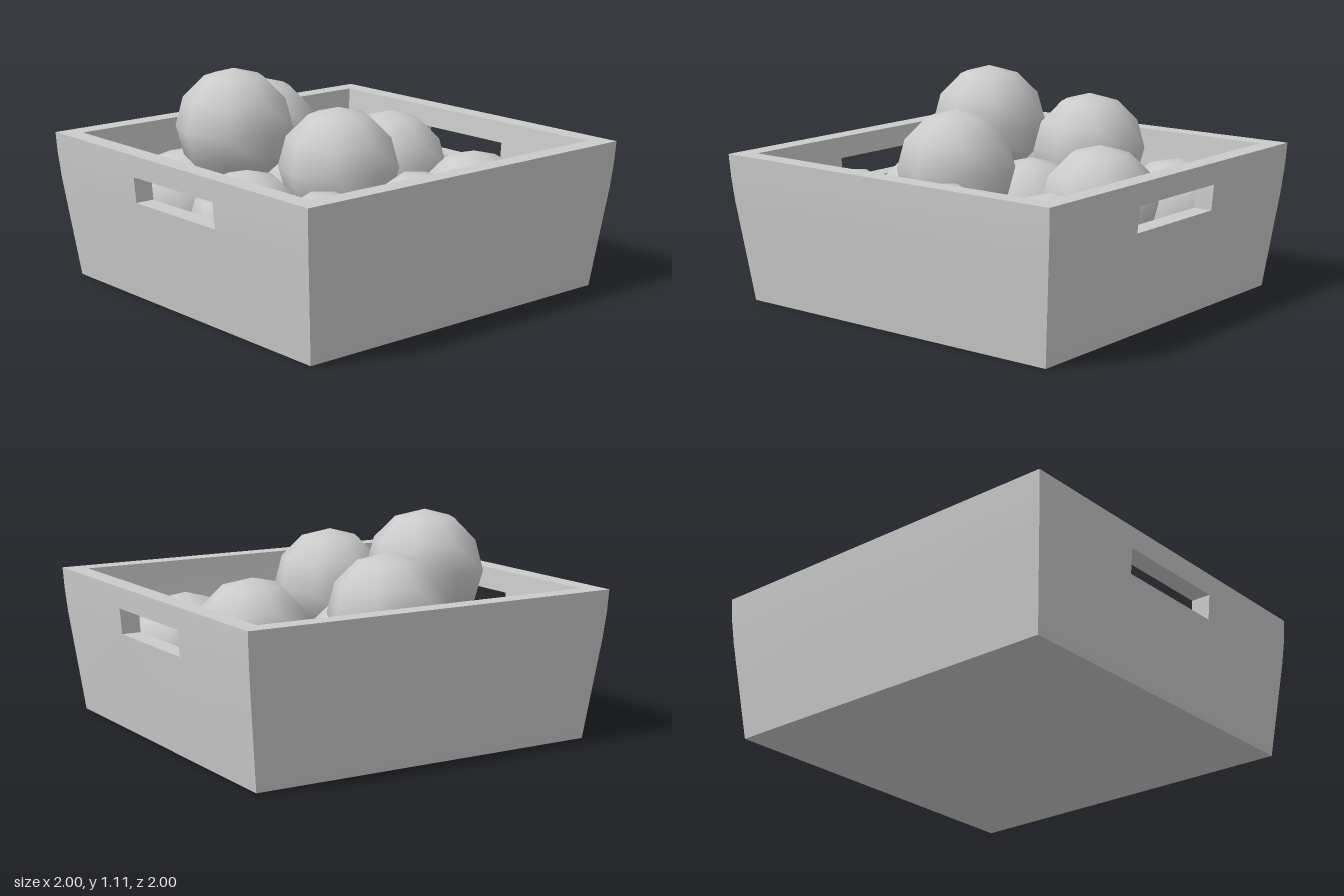
import * as THREE from 'three';
import { toCreasedNormals } from 'three/addons/utils/BufferGeometryUtils.js';

const RADIUS = 0.297;
const SLOT = 0.315; // half length of a handle slot

// Wall profiles, bottom to top: [half width, height]
const OUTER = [[0.92, 0], [0.982, 0.51], [0.994, 0.64], [1, 0.75]];
const INNER = [[0.83, 0.07], [0.882, 0.51], [0.893, 0.64], [0.9, 0.75]];

// Ball centres [x, y, z] and a slight tilt
const BALLS = [
  [-0.49, 0.37, -0.57, 0], [0.03, 0.665, -0.61, 0], [0.57, 0.38, -0.6, -0.2],
  [-0.395, 0.81, -0.295, 0], [-0.05, 0.37, -0.21, 0], [0.475, 0.51, -0.09, 0],
  [-0.555, 0.37, 0.01, 0], [-0.17, 0.665, 0.24, 0], [0.575, 0.37, 0.43, 0],
  [-0.555, 0.37, 0.585, 0.2], [0.04, 0.37, 0.58, 0.2],
];

function crateGeometry() {
  const pos = [];
  const quad = (a, b, c, d) => [a, b, c, a, c, d].forEach((p) => pos.push(...p));

  for (let side = 0; side < 4; side++) {
    const hasSlot = side % 2 === 1;
    const s = Math.round(Math.sin(side * Math.PI / 2));
    const c = Math.round(Math.cos(side * Math.PI / 2));
    // Point on a wall: column 0..3 along it, row 0..3 up it
    const at = (profile, col, row) => {
      const [out, y] = profile[row];
      const along = [-out, -SLOT, SLOT, out][col];
      return [out * s + along * c, y, out * c - along * s];
    };

    // Outer and inner skins, leaving the slot open
    for (let row = 0; row < 3; row++) {
      for (let col = 0; col < 3; col++) {
        if (hasSlot && row === 1 && col === 1) continue;
        quad(at(OUTER, col, row), at(OUTER, col + 1, row), at(OUTER, col + 1, row + 1), at(OUTER, col, row + 1));
        quad(at(INNER, col + 1, row), at(INNER, col, row), at(INNER, col, row + 1), at(INNER, col + 1, row + 1));
      }
    }

    // Top rim
    for (let col = 0; col < 3; col++) {
      quad(at(OUTER, col, 3), at(OUTER, col + 1, 3), at(INNER, col + 1, 3), at(INNER, col, 3));
    }

    // Slot lining
    if (hasSlot) {
      const loop = [[1, 1], [2, 1], [2, 2], [1, 2]];
      loop.forEach((p, i) => {
        const q = loop[(i + 1) % 4];
        quad(at(OUTER, ...p), at(OUTER, ...q), at(INNER, ...q), at(INNER, ...p));
      });
    }
  }

  // Floor and underside
  const [b] = OUTER[0];
  const [f, fy] = INNER[0];
  quad([-b, 0, -b], [b, 0, -b], [b, 0, b], [-b, 0, b]);
  quad([-f, fy, f], [f, fy, f], [f, fy, -f], [-f, fy, -f]);

  const geometry = new THREE.BufferGeometry();
  geometry.setAttribute('position', new THREE.Float32BufferAttribute(pos, 3));
  return toCreasedNormals(geometry, Math.PI / 6);
}

export function createModel() {
  const model = new THREE.Group();
  model.name = 'crateOfBalls';
  const material = new THREE.MeshStandardMaterial({ color: 0xcccccc });

  // Tapered open crate with two handle slots
  const crate = new THREE.Mesh(crateGeometry(), material);
  crate.name = 'crate';
  model.add(crate);

  // Heaped balls
  const balls = new THREE.Group();
  balls.name = 'balls';
  const ballGeometry = new THREE.SphereGeometry(RADIUS, 8, 6);
  BALLS.forEach(([x, y, z, tilt], i) => {
    const ball = new THREE.Mesh(ballGeometry, material);
    ball.name = `ball${i + 1}`;
    ball.position.set(x, y, z);
    ball.rotation.x = tilt;
    balls.add(ball);
  });
  model.add(balls);

  return model;
}
